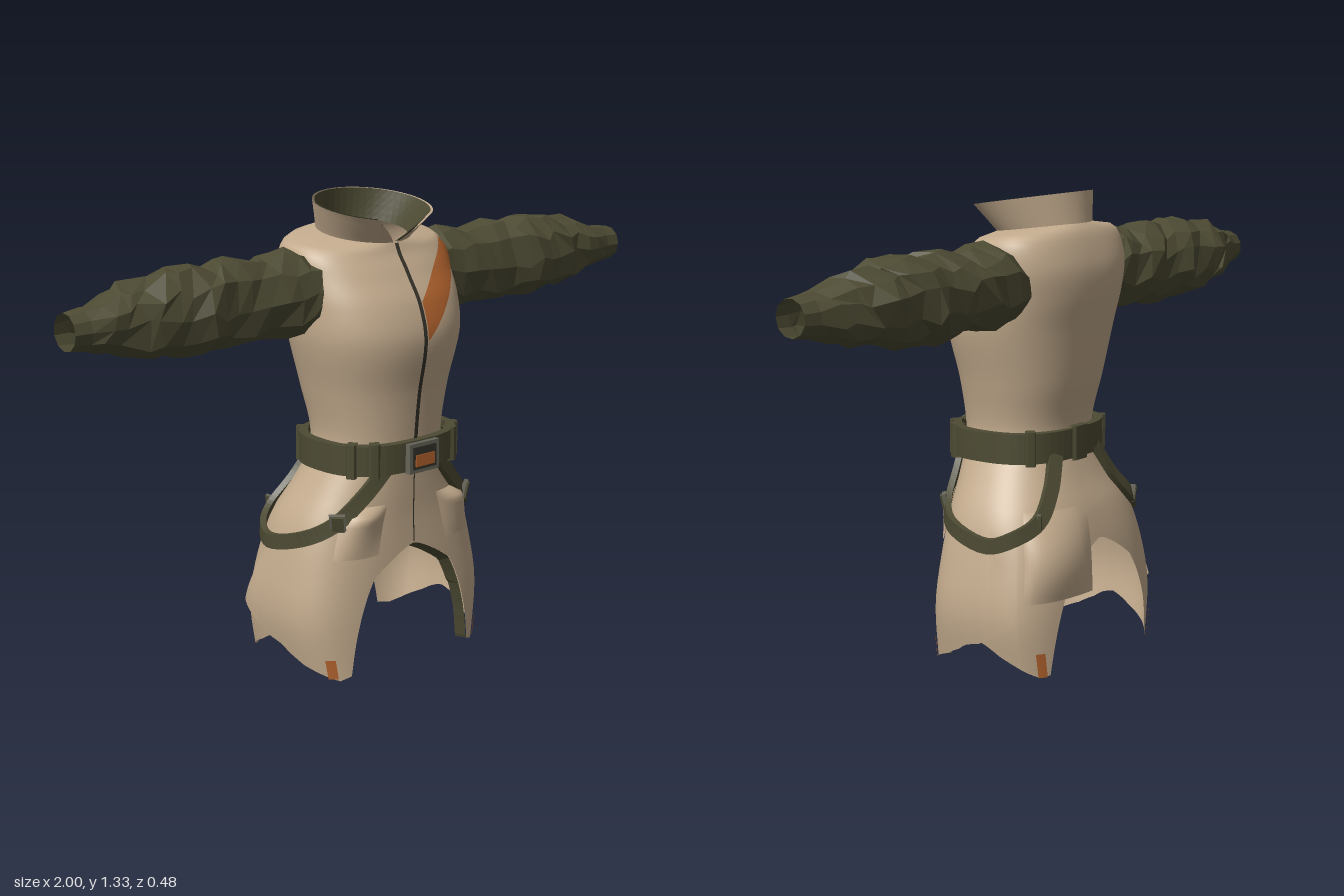
import * as THREE from 'three';
import { mergeVertices } from 'three/addons/utils/BufferGeometryUtils.js';

const D = THREE.DoubleSide, rad = Math.PI / 180;
const paint = (name, color, flatShading = false) =>
  Object.assign(new THREE.MeshStandardMaterial({ color, side: D, flatShading }), { name });

// rows of [y, half width, front z, back z, squareness]
const TORSO = [
  [0.6, 0.195, 0.195, -0.125, 2.3], [0.68, 0.19, 0.2, -0.125, 2.3], [0.8, 0.213, 0.213, -0.152, 2.3],
  [0.95, 0.25, 0.238, -0.178, 2.3], [1.05, 0.257, 0.213, -0.197, 2.4], [1.13, 0.257, 0.163, -0.197, 2.5],
  [1.19, 0.25, 0.13, -0.175, 2.4], [1.215, 0.218, 0.12, -0.158, 2.2], [1.225, 0.13, 0.115, -0.148, 2]];
const SKIRT = [
  [0, 0.31, 0.21, -0.235, 3.4], [0.17, 0.338, 0.203, -0.232, 3.2], [0.32, 0.318, 0.197, -0.218, 2.9],
  [0.44, 0.285, 0.192, -0.19, 2.6], [0.52, 0.24, 0.193, -0.155, 2.4], [0.6, 0.195, 0.195, -0.125, 2.3]];

// smooth interpolation of profile rows at height y
function rowAt(rows, y) {
  let i = 0;
  while (i < rows.length - 2 && y > rows[i + 1][0]) i++;
  const a = rows[i], b = rows[i + 1], p = rows[Math.max(i - 1, 0)], q = rows[Math.min(i + 2, rows.length - 1)];
  const h = b[0] - a[0], t = THREE.MathUtils.clamp((y - a[0]) / h, 0, 1);
  return a.map((v, k) => {
    const m0 = (b[k] - p[k]) / (b[0] - p[0]) * h, m1 = (q[k] - v) / (q[0] - a[0]) * h;
    return v + t * m0 + t * t * (3 * (b[k] - v) - 2 * m0 - m1) + t * t * t * (2 * (v - b[k]) + m0 + m1);
  });
}
// point on a body surface; angle 0 is the front, 90 the +x side
function on(rows, deg, y, off = 0) {
  const [, w, f, b, n] = rowAt(rows, y), c = (f + b) / 2, d = (f - b) / 2;
  const s = Math.sin(deg * rad), k = Math.cos(deg * rad);
  const z = c + Math.sign(k) * Math.abs(k) ** (2 / n) * (d + off);
  const tilt = rows === TORSO ? THREE.MathUtils.smoothstep(y, 1.13, 1.22) * 0.13 : 0;
  return [Math.sign(s) * Math.abs(s) ** (2 / n) * (w + off), y - z * tilt, z];
}
// piecewise linear lookup in [key, value] pairs
function lookup(list, x) {
  let i = 0;
  while (i < list.length - 2 && x > list[i + 1][0]) i++;
  const [a, b] = [list[i], list[i + 1]];
  return THREE.MathUtils.lerp(a[1], b[1], THREE.MathUtils.clamp((x - a[0]) / (b[0] - a[0]), 0, 1));
}
// sheet of quads from a rule; keep() may leave faces out
function sheet(nu, nv, fn, keep) {
  const pos = [], idx = [];
  for (let i = 0; i <= nu; i++) for (let j = 0; j <= nv; j++) pos.push(...fn(i / nu, j / nv, i, j));
  for (let i = 0; i < nu; i++) for (let j = 0; j < nv; j++) {
    const a = i * (nv + 1) + j, b = a + nv + 1;
    if (!keep || keep(pos.slice(a * 3, a * 3 + 3))) idx.push(a, b, a + 1, b, b + 1, a + 1);
  }
  const g = new THREE.BufferGeometry();
  g.setAttribute('position', new THREE.Float32BufferAttribute(pos, 3));
  g.setIndex(idx);
  const m = mergeVertices(g, 1e-5);
  m.computeVertexNormals();
  return m;
}
const noise = (i, j) => { const v = Math.sin(i * 127.1 + j * 311.7) * 43758.5453; return (v - Math.floor(v)) * 2 - 1; };

export function createModel() {
  const cloth = paint('tan cloth', 0xc3ab8d), green = paint('olive cloth', 0x4d4b33, true);
  const orange = paint('orange accent', 0xb4642e, true), dark = paint('dark zip', 0x35322a, true);
  const metal = paint('buckle metal', 0x67655a, true);
  const root = new THREE.Group();
  const add = (name, geo, mat) => {
    const m = new THREE.Mesh(geo, mat);
    m.name = name;
    root.add(m);
    return m;
  };
  const lerp = THREE.MathUtils.lerp;

  // torso with open armholes
  add('jacketBody', sheet(80, 50, (u, v) => on(TORSO, u * 360, lerp(0.6, 1.225, v)),
    ([x, y, z]) => Math.abs(x) < 0.1 || Math.hypot(y - 1.08, z + 0.015) > 0.092), cloth);

  // flared collar, open at the front, with olive inside
  const collar = off => sheet(40, 4, (u, v) => {
    const a = lerp(3, 37, v), d = lerp(a, 360 - a, u) * rad, k = Math.cos(d);
    const z = lerp(-0.017, 0.02, v) + k * (lerp(0.134, k > 0 ? 0.172 : 0.162, v) - off);
    return [Math.sin(d) * (lerp(0.132, 0.168, v) - off), lerp(1.223 - z * 0.13, 1.308 - z * 0.15, v), z];
  });
  add('collar', collar(0), cloth);
  add('collarLining', collar(0.007), green);

  // chest stripe on the left breast
  const front = (x, y, off) => {
    const r = rowAt(TORSO, y);
    return on(TORSO, Math.asin(Math.min(1, (Math.abs(x) / r[1]) ** (r[4] / 2))) / rad, y, off);
  };
  add('chestStripe', sheet(24, 8, (u, v) => {
    const x = lerp(0.01, lerp(0.236, 0.19, v), u), y = lerp(lerp(0.948, 1.055, v), lerp(1.16, 1.208, v), u);
    return front(x, y, 0.006);
  }), orange);

  // centre zip, with a finer fly seam below the belt
  const zip = (rows, y0, y1, w) => sheet(2, 40, (u, v) => {
    const p = on(rows, 0, lerp(y0, y1, v), 0.006);
    return [lerp(-w, w, u), p[1], p[2]];
  });
  add('zip', zip(TORSO, 0.6, 1.222, 0.0065), dark);
  add('flySeam', zip(SKIRT, 0.365, 0.6, 0.002), dark);

  // belt with keepers, each tapering into the belt at its ends
  const beltRow = [[0.5, 0.222, 0.226, -0.14, 2.6], [0.7, 0.222, 0.226, -0.14, 2.6]];
  const band = (a0, a1, y0, y1, off, n) => sheet(n, 4, (u, v, i, j) => {
    const o = i % n ? off : 0;
    return on(beltRow, lerp(a0, a1, u), [y0, y1, y1, y0, y0][j], [o, o, -0.025, -0.025, o][j]);
  });
  add('belt', band(0, 360, 0.583, 0.668, 0, 56), green);
  for (const a of [36, 58, 135, 180, 225, 302, 324])
    add('beltKeeper', band(a - 5, a + 5, 0.577, 0.674, 0.008, 6), green);
  const box = (name, w, h, d, x, y, z, mat) => {
    const m = add(name, new THREE.BoxGeometry(w, h, d), mat);
    m.position.set(x, y, z);
    return m;
  };
  box('beltBuckle', 0.11, 0.085, 0.022, 0, 0.622, 0.23, metal);
  box('buckleInset', 0.088, 0.064, 0.008, 0, 0.622, 0.239, dark);
  box('buckleBadge', 0.07, 0.033, 0.008, 0, 0.615, 0.242, orange);

  const frontHem = [[0, 0.36], [17, 0.285], [20, 0.24], [25, 0.15], [34, 0.012], [44, 0], [54, 0.012],
    [75, 0.04], [85, 0.065], [90, 0.09], [95, 0.11], [118, 0.17]];
  const backHem = [[90, 0.1], [102, 0.065], [123, 0.025], [133, 0.01], [144, 0.012], [153, 0.14], [160, 0.24], [164, 0.285], [180, 0.36]];
  for (const s of [1, -1]) {
    const side = s > 0 ? 'left' : 'right';
    const mir = p => [p[0] * s, p[1], p[2]];
    const skin = (a, y, off) => mir(on(SKIRT, a, y, off));

    // skirt panels
    add(side + 'FrontPanel', sheet(99, 16, (u, v) =>
      skin(u * 99, lerp(0.6, lookup(frontHem, u * 99), v), 0.003)), cloth);
    add(side + 'SideFlap', sheet(12, 8, (u, v) => {
      const a = lerp(99, 118, u);
      return skin(a, lerp(lerp(0.37, 0.175, u), lookup(frontHem, a), v), 0.003 + 0.012 * u);
    }), cloth);
    add(side + 'BackPanel', sheet(90, 16, (u, v) => {
      const a = 90 + u * 90, y = lerp(0.6, lookup(backHem, a), v);
      const tuck = (1 - Math.min(1, u * 3)) * (1 - THREE.MathUtils.smoothstep(y, 0.3, 0.42));
      return skin(a, y, 0.002 - 0.012 * tuck);
    }), cloth);

    // olive facing along the front leg opening
    add(side + 'FrontFacing', sheet(30, 1, (u, v) => {
      const a = 40 * u, p = on(SKIRT, a, lookup(frontHem, a), 0.001);
      return mir([Math.max(0, p[0] - 0.014 * v), p[1] - (p[1] > 0.2 ? 0.012 * v : 0), p[2] - 0.03 * v]);
    }), green);

    // orange hem tips
    const patch = (a0, a1, y0, y1, off) => sheet(12, 12, (u, v) => {
      const a = lerp(a0, a1, u), y = lerp(y0, y1, v);
      return skin(a, y, off(u, v));
    });
    add(side + 'FrontHemTip', patch(45, 54, 0.008, 0.065, () => 0.007), orange);
    add(side + 'BackHemTip', patch(133, 141, 0.01, 0.08, () => 0.007), orange);

    // pocket flaps: pouched on the front hips, one fuller pocket on the left seat
    add(side + 'FrontPocketFlap', patch(16, 48, 0.35, 0.49, (u, v) =>
      0.004 + 0.036 * Math.sin(u * Math.PI) * (0.2 + 0.8 * v) * Math.min(1, (1 - v) * 5)), cloth);
    if (s > 0) add('leftBackPocket', patch(126, 176, 0.22, 0.46, (u, v) =>
      0.002 + 0.026 * Math.sin(u * Math.PI) ** 0.6 * Math.sin(v * Math.PI)), cloth);

    // hip strap hanging from the belt
    const path = new THREE.CatmullRomCurve3([[25, 0.6], [37, 0.525], [52, 0.45], [72, 0.41], [98, 0.375],
      [116, 0.395], [137, 0.435], [149, 0.51], [156, 0.6]].map(([a, y]) => new THREE.Vector3(...on(SKIRT, a, y, 0.01))));
    const frame = t => {
      const p = path.getPoint(t), tan = path.getTangent(t);
      const out = new THREE.Vector3(p.x, 0, p.z * 1.6).normalize();
      const wide = new THREE.Vector3().crossVectors(tan, out).normalize();
      return { p, tan, wide, out: new THREE.Vector3().crossVectors(wide, tan) };
    };
    add(side + 'HipStrap', sheet(44, 4, (u, v, i, j) => {
      const f = frame(u), w = [-1, 1, 1, -1, -1][j] * 0.021, o = [0.012, 0.012, -0.006, -0.006, 0.012][j];
      return mir(f.p.addScaledVector(f.wide, w).addScaledVector(f.out, o).toArray());
    }), green);
    const flip = new THREE.Matrix4().makeScale(-1, 1, 1);
    for (const t of [0.24, 0.75]) {
      const f = frame(t);
      const turn = new THREE.Matrix4().makeBasis(f.tan, f.wide, f.out);
      if (s < 0) turn.premultiply(flip).multiply(flip);
      for (const [name, l, h, o, mat] of [['StrapBuckle', 0.052, 0.052, 0.01, metal], ['StrapBuckleSlot', 0.038, 0.042, 0.016, green]]) {
        const q = f.p.clone().addScaledVector(f.out, o);
        const b = box(side + name, l, h, 0.014, q.x * s, q.y, q.z, mat);
        b.quaternion.setFromRotationMatrix(turn);
      }
    }

    // crumpled sleeve with broad folds, open at the cuff
    const R = [[0.2, 0.112], [0.28, 0.12], [0.4, 0.108], [0.6, 0.122], [0.72, 0.114], [0.82, 0.094], [0.9, 0.07], [0.94, 0.058], [1, 0.05]];
    add(side + 'Sleeve', sheet(16, 11, (u, v, i, j) => {
      const k = j % 11, loose = i < 15 ? 1 : 0, a = (k / 11) * Math.PI * 2 + noise(i + 3, k) * 0.16 * loose;
      const x = lerp(0.215, 1, u) + (i > 0 ? noise(k, i + 9) * 0.02 * loose : 0);
      const fold = 1 + loose * (0.06 * Math.sin(x * 36 + 2 * a) + 0.085 * noise(i, k + 5));
      const r = lookup(R, x) * fold, z0 = lerp(-0.022, 0, THREE.MathUtils.smoothstep(x, 0.75, 1));
      return mir([x, 1.08 + r * Math.sin(a), z0 + r * Math.cos(a)]);
    }), green);
  }
  return root;
}
